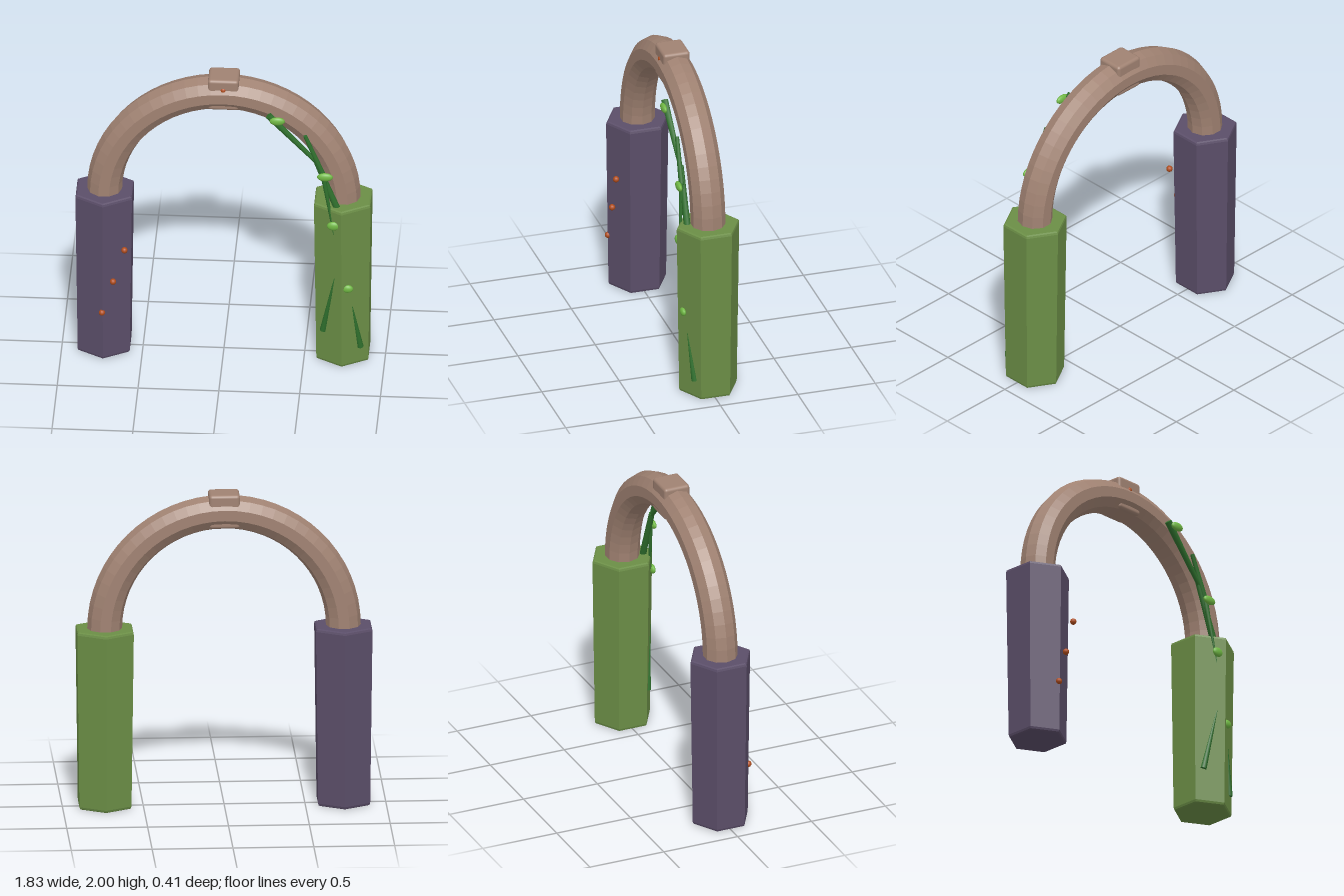
import * as THREE from 'three';
import { RoundedBoxGeometry } from 'three/addons/geometries/RoundedBoxGeometry.js';

const V = (x, y, z) => new THREE.Vector3(x, y, z);

function material(name, color, flatShading = false) {
  const m = new THREE.MeshStandardMaterial({ color, flatShading });
  m.name = name;
  return m;
}

export function createModel() {
  const group = new THREE.Group();
  const stone = material('brownStone', 0xa08272, true);
  const purple = material('purpleStone', 0x5b4e69, true);
  const moss = material('mossGreen', 0x6b8e46, true);
  const vineGreen = material('vineGreen', 0x2f702d);
  const leafGreen = material('leafGreen', 0x70b844);
  const orange = material('berryOrange', 0xb04c1c);

  function add(name, geometry, mat, pos) {
    const mesh = new THREE.Mesh(geometry, mat);
    mesh.name = name;
    mesh.position.copy(pos);
    group.add(mesh);
    return mesh;
  }

  // Six-sided pillars, slightly wider at the top, with softened rims
  const pillarProfile = [
    [0, 0], [0.17, 0], [0.181, 0.005], [0.186, 0.018],
    [0.202, 1.122], [0.198, 1.135], [0.187, 1.14], [0, 1.14],
  ].map(([r, y]) => new THREE.Vector2(r, y));
  const pillar = new THREE.LatheGeometry(pillarProfile, 6);
  add('rightPillar', pillar, purple, V(-0.738, 0, 0));
  add('leftPillar', pillar, moss, V(0.738, 0, 0));

  // Half-ring arch with a ten-sided section
  add('arch', new THREE.TorusGeometry(0.738, 0.108, 10, 32, Math.PI), stone, V(0, 1.138, 0));

  // Keystone pushed through the crown of the arch
  const keystoneStone = stone.clone();
  keystoneStone.flatShading = false;
  add('keystone', new RoundedBoxGeometry(0.192, 0.215, 0.172, 3, 0.02), keystoneStone, V(0, 1.8925, 0));

  // Berries on the purple pillar and under the keystone
  const berry = new THREE.SphereGeometry(0.02, 12, 8);
  [[-0.605, 0.8, 0.178], [-0.675, 0.57, 0.182], [-0.743, 0.345, 0.188], [0, 1.93, 0.075]]
    .forEach((p) => add('berry', berry, orange, V(...p)));

  // Tapered stems running between two points
  function stem(name, from, to, r0, r1) {
    const a = V(...from), b = V(...to);
    const dir = b.clone().sub(a);
    const geo = new THREE.CylinderGeometry(r1, r0, dir.length(), 8);
    const mesh = add(name, geo, vineGreen, a.clone().add(b).multiplyScalar(0.5));
    mesh.quaternion.setFromUnitVectors(V(0, 1, 0), dir.normalize());
  }
  stem('vine', [0.285, 1.795, 0.14], [0.58, 1.46, 0.125], 0.023, 0.014);
  stem('vine', [0.51, 1.65, 0.13], [0.62, 1.38, 0.135], 0.013, 0.017);
  stem('vine', [0.62, 1.38, 0.135], [0.69, 0.96, 0.168], 0.017, 0.004);
  stem('vine', [0.57, 1.48, 0.122], [0.71, 1.12, 0.125], 0.016, 0.022);
  stem('pillarShoot', [0.62, 0.23, 0.12], [0.695, 0.64, 0.166], 0.02, 0.004);
  stem('pillarShoot', [0.852, 0.12, 0.122], [0.803, 0.43, 0.152], 0.02, 0.003);

  // Flattened oval leaves
  const leaf = new THREE.SphereGeometry(1, 16, 10);
  [
    [0.34, 1.77, 0.163, 0.048, 0.028],
    [0.635, 1.37, 0.157, 0.05, 0.028],
    [0.688, 1.028, 0.178, 0.04, 0.03],
    [0.775, 0.57, 0.173, 0.035, 0.027],
  ].forEach(([x, y, z, rx, ry]) => add('leaf', leaf, leafGreen, V(x, y, z)).scale.set(rx, ry, 0.018));

  return group;
}
